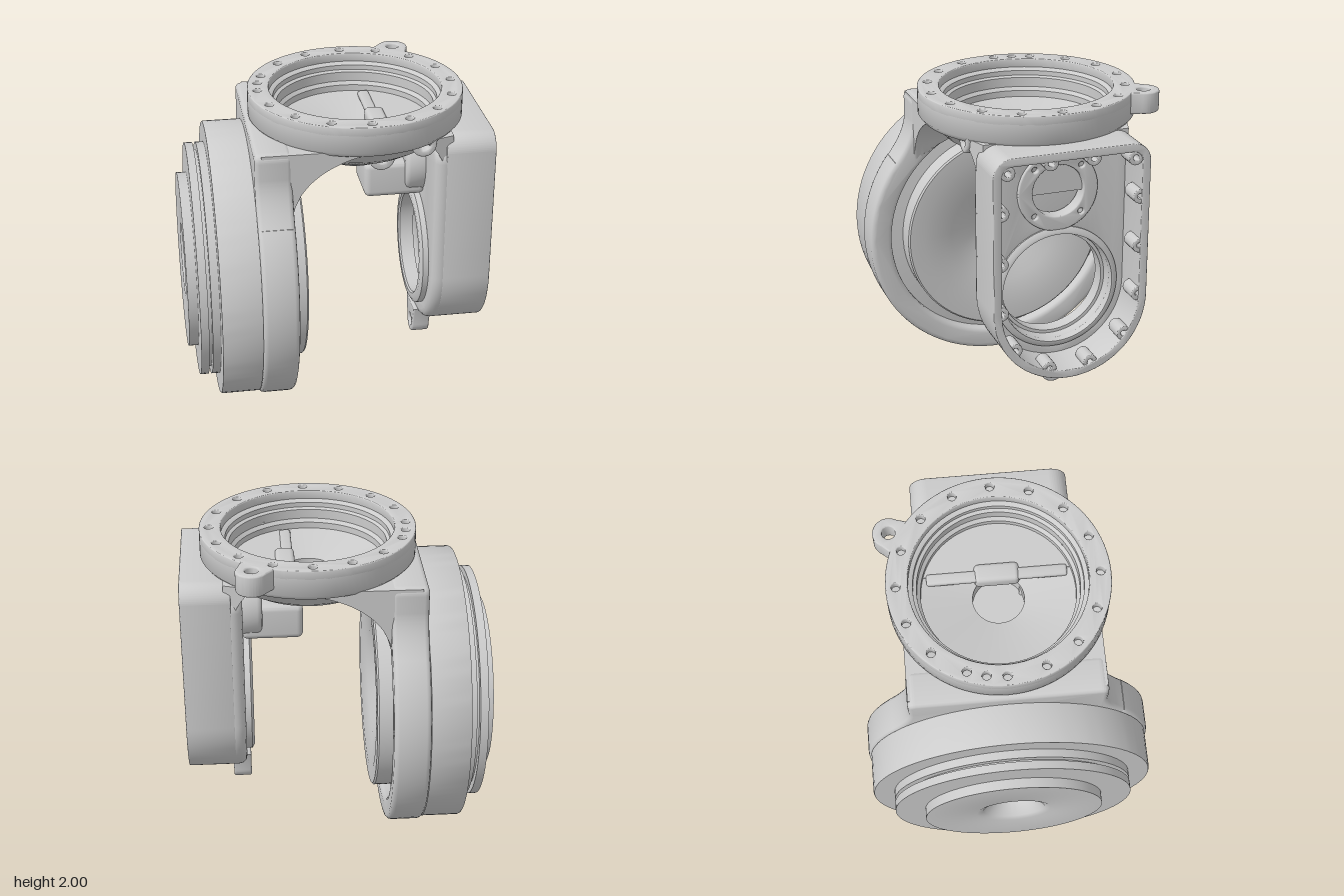
import * as THREE from 'three';
import { toCreasedNormals } from 'three/addons/utils/BufferGeometryUtils.js';
import { RoundedBoxGeometry } from 'three/addons/geometries/RoundedBoxGeometry.js';

const material = new THREE.MeshStandardMaterial({ color: 0xcccccc });
const V = (x, y) => new THREE.Vector2(x, y);
const AXIS_Y = 0.88;      // height of the drum and bearing axis
const RING_X = 0.16;      // centre of the top ring

function add(parent, name, geometry, x = 0, y = 0, z = 0) {
  const mesh = new THREE.Mesh(toCreasedNormals(geometry, 0.7), material);
  mesh.name = name;
  mesh.position.set(x, y, z);
  parent.add(mesh);
  return mesh;
}

function extrude(shape, depth, bevel = 0) {
  const g = new THREE.ExtrudeGeometry(shape, {
    depth: depth - 2 * bevel, curveSegments: 32, bevelEnabled: bevel > 0,
    bevelThickness: bevel, bevelSize: bevel, bevelOffset: -bevel, bevelSegments: 3,
  });
  return g.translate(0, 0, bevel);
}
// Shape drawn in the (-z, y) plane, extruded along +x
const extrudeX = (shape, depth, bevel) => extrude(shape, depth, bevel).rotateY(Math.PI / 2);
// Shape drawn in the (x, -z) plane, extruded along +y
const extrudeY = (shape, depth, bevel) => extrude(shape, depth, bevel).rotateX(-Math.PI / 2);

const lathe = (pts) => new THREE.LatheGeometry([...pts, pts[0]].map(([r, h]) => V(r, h)), 96);
const latheX = (pts) => lathe(pts).rotateZ(-Math.PI / 2);

// Circle with fewer sides when small
function circlePoints(x, y, r) {
  const n = r < 0.05 ? 14 : r < 0.3 ? 40 : 96;
  return Array.from({ length: n }, (_, i) => {
    const a = i / n * Math.PI * 2;
    return V(x + r * Math.cos(a), y + r * Math.sin(a));
  });
}
function circleHole(shape, x, y, r) {
  shape.holes.push(new THREE.Path(circlePoints(x, y, r).reverse()));
  return shape;
}
const annulus = (outer, inner) =>
  circleHole(new THREE.Shape(circlePoints(0, 0, outer)), 0, 0, inner);

// Rounded tab with a hole at its origin and a foot below
function tab(r, hole, footHalf, length) {
  const s = new THREE.Shape();
  s.absarc(0, 0, r, 0, Math.PI, false);
  s.lineTo(-footHalf, -length);
  s.lineTo(footHalf, -length);
  s.closePath();
  return circleHole(s, 0, 0, hole);
}

// Arm outline: rounded top corners and a semicircular foot
function armOutline(inset, top, Type = THREE.Shape) {
  const h = 0.48 - inset, c = 0.11 - inset;
  const s = new Type();
  s.absarc(0, 0.87, h, Math.PI, Math.PI * 2, false);
  s.lineTo(h, top - c);
  s.absarc(h - c, top - c, c, 0, Math.PI / 2, false);
  s.lineTo(-h + c, top);
  s.absarc(-h + c, top - c, c, Math.PI / 2, Math.PI, false);
  s.closePath();
  return s;
}

// Drum on the right-hand leg, with a funnel through the middle
function buildDrum(model) {
  add(model, 'drum', latheX([
    [0.14, -0.84], [0.19, -0.92], [0.23, -0.935], [0.55, -0.94], [0.55, -0.88], [0.735, -0.88],
    [0.735, -0.83], [0.69, -0.83], [0.69, -0.81], [0.735, -0.81], [0.735, -0.76],
    [0.86, -0.76], [0.865, -0.75], [0.865, -0.52], [0.8, -0.52], [0.8, -0.38], [0.655, -0.36],
    [0.655, -0.23], [0.645, -0.22], [0.55, -0.22], [0.36, -0.25], [0.14, -0.37],
  ]), 0, AXIS_Y);
}

// Leg plate: ring around the drum with a filleted neck
function buildLeg(model) {
  const a = 37 * Math.PI / 180;
  const s = new THREE.Shape();
  s.absarc(0, AXIS_Y, 0.88, Math.PI - a, Math.PI * 2 + a, false);
  s.quadraticCurveTo(0.585, 1.56, 0.585, 1.68);
  s.lineTo(0.585, 1.78);
  s.quadraticCurveTo(0.585, 1.83, 0.535, 1.83);
  s.lineTo(-0.535, 1.83);
  s.quadraticCurveTo(-0.585, 1.83, -0.585, 1.78);
  s.lineTo(-0.585, 1.68);
  s.quadraticCurveTo(-0.585, 1.56, -0.7, 1.41);
  circleHole(s, 0, AXIS_Y, 0.74);
  add(model, 'drumLeg', extrudeX(s, 0.22, 0.03), -0.52);
}

// Height of the arched underside of the bridge
function archHeight(x, z) {
  const t = THREE.MathUtils.clamp((0.3 - x) / 0.6, 0, 1);
  const overDrum = AXIS_Y + Math.sqrt(0.76 ** 2 - z * z);
  const arch = Math.max(1.4 + 0.41 * Math.sqrt(1 - t * t), overDrum);
  return Math.min(arch, 1.81) - 0.33 * Math.max(0, (x - 0.48) / 0.2) ** 2;
}

// Bridge from leg to arm: loops between the bowl and the outer edge
function buildBridge(model) {
  const corners = [[-0.48, -0.58], [0.3, -0.58], [0.68, -0.45], [0.68, 0.45], [0.3, 0.58], [-0.48, 0.58]];
  const edge = [];
  corners.forEach(([x, z], i) => {
    const [x2, z2] = corners[(i + 1) % corners.length];
    for (let k = 0; k < 24; k++) edge.push([x + (x2 - x) * k / 24, z + (z2 - z) * k / 24]);
  });
  const steps = 16, row = steps + 3, position = [], index = [];
  edge.forEach(([x, z], i) => {
    const r = Math.hypot(x - RING_X, z);
    const inX = RING_X + (x - RING_X) * 0.49 / r, inZ = z * 0.49 / r;
    for (let k = 0; k <= steps; k++) {
      const px = inX + (x - inX) * k / steps, pz = inZ + (z - inZ) * k / steps;
      position.push(px, archHeight(px, pz), pz);
    }
    position.push(x, 1.825, z, inX, 1.825, inZ);
    for (let j = 0; j < row - 1; j++) {
      const a = i * row + j, b = ((i + 1) % edge.length) * row + j;
      index.push(a, a + 1, b, b, a + 1, b + 1);
    }
  });
  const g = new THREE.BufferGeometry();
  g.setAttribute('position', new THREE.Float32BufferAttribute(position, 3));
  g.setIndex(index);
  add(model, 'bridge', g);
}

// Top ring, bowl and central cup
function buildTop(model) {
  const top = new THREE.Group();
  top.name = 'topRing';
  top.position.x = RING_X;
  model.add(top);
  add(top, 'bowl', lathe([
    [0, 1.54], [0.185, 1.54], [0.2, 1.555], [0.2, 1.65], [0.42, 1.66], [0.5, 1.71], [0.57, 1.78],
    [0.63, 1.81], [0.655, 1.84], [0.655, 1.95], [0.53, 1.95], [0.5, 1.93], [0.5, 1.9],
    [0.48, 1.89], [0.48, 1.83], [0.46, 1.81], [0.46, 1.77], [0.155, 1.7], [0.155, 1.61], [0, 1.61],
  ]));
  const flange = annulus(0.655, 0.525);
  const boltAngles = Array.from({ length: 16 }, (_, i) => i * Math.PI / 8);
  boltAngles.push(Math.PI - 0.2);
  for (const a of boltAngles) circleHole(flange, 0.595 * Math.cos(a), 0.595 * Math.sin(a), 0.026);
  add(top, 'boltFlange', extrudeY(flange, 0.06, 0.006), 0, 1.94);
  add(top, 'ringLug', extrudeY(tab(0.095, 0.04, 0.11, 0.07), 0.13, 0.01), 0.35, 1.87, -0.615)
    .rotation.y = -0.51;
  // Raised floor segment and the ridge beside it
  const a = Math.acos(0.14 / 0.465);
  const segment = new THREE.Shape().absarc(0, 0, 0.465, -a, a, false);
  add(top, 'floorShelf', extrudeY(segment, 0.06), 0, 1.715);
  add(top, 'floorRidge', new RoundedBoxGeometry(0.07, 0.04, 0.84, 2, 0.015), 0.125, 1.765);
  add(top, 'floorBlock', new RoundedBoxGeometry(0.12, 0.1, 0.27, 3, 0.03), 0.14, 1.745);
}

// Open gear arm with a screw rim and a bearing seat
function buildArm(model) {
  const arm = new THREE.Group();
  arm.name = 'gearArm';
  model.add(arm);
  const plate = armOutline(0, 1.76);
  circleHole(plate, 0, AXIS_Y, 0.34);
  circleHole(plate, 0, 1.5, 0.17);
  add(arm, 'armPlate', extrudeX(plate, 0.12, 0.05), 0.57);
  const rim = armOutline(0, 1.82);
  rim.holes.push(armOutline(0.05, 1.77, THREE.Path));
  add(arm, 'armRim', extrudeX(rim, 0.3, 0.005), 0.637);

  add(arm, 'bearingSeat', latheX([
    [0.32, 0.53], [0.33, 0.52], [0.365, 0.52], [0.39, 0.535], [0.39, 0.7], [0.365, 0.72],
    [0.35, 0.72], [0.35, 0.62], [0.32, 0.62],
  ]), 0, AXIS_Y);

  // Upper shaft opening, with small screws round it
  const seat = annulus(0.25, 0.16);
  for (let i = 0; i < 4; i++) {
    const a = Math.PI / 4 + i * Math.PI / 2;
    circleHole(seat, 0.205 * Math.cos(a), 0.205 * Math.sin(a), 0.018);
  }
  add(arm, 'shaftSeat', extrudeX(seat, 0.09, 0.008), 0.62, 1.5);
  const cap = new THREE.Shape(circlePoints(0, 0, 0.22));
  add(arm, 'shaftCap', extrudeX(cap, 0.15, 0.03), 0.45, 1.5);

  // Screw bosses inside the rim
  const half = [[0.39, 1.73], [0.13, 1.76], [0.425, 1.49], [0.43, 1.18], [0.43, 0.87], [0.345, 0.62], [0.13, 0.465]];
  for (const [z, y] of half)
    for (const side of [1, -1])
      add(arm, 'screwBoss', extrudeX(annulus(0.045, 0.018), 0.13, 0.005), 0.8, y, side * z);

  // Lug hanging below the arm
  const lug = tab(0.08, 0.04, 0.12, 0.14);
  add(arm, 'armLug', extrudeX(lug, 0.115, 0.012).rotateX(Math.PI), 0.545, 0.3);
}

// Housing and pierced bosses under the bridge
function buildUnderside(model) {
  add(model, 'gearHousing', new RoundedBoxGeometry(0.38, 0.23, 0.34, 4, 0.04), 0.39, 1.42);
  add(model, 'innerBoss', extrude(annulus(0.08, 0.035), 0.12, 0.01), 0.29, 1.61, 0.13);
  add(model, 'frontBoss', extrude(tab(0.075, 0.035, 0.08, 0.045), 0.11, 0.012).rotateZ(Math.PI), 0.49, 1.8, 0.4);
}

export function createModel() {
  const model = new THREE.Group();
  model.name = 'yokeHousing';
  buildDrum(model);
  buildLeg(model);
  buildBridge(model);
  buildTop(model);
  buildArm(model);
  buildUnderside(model);
  return model;
}
